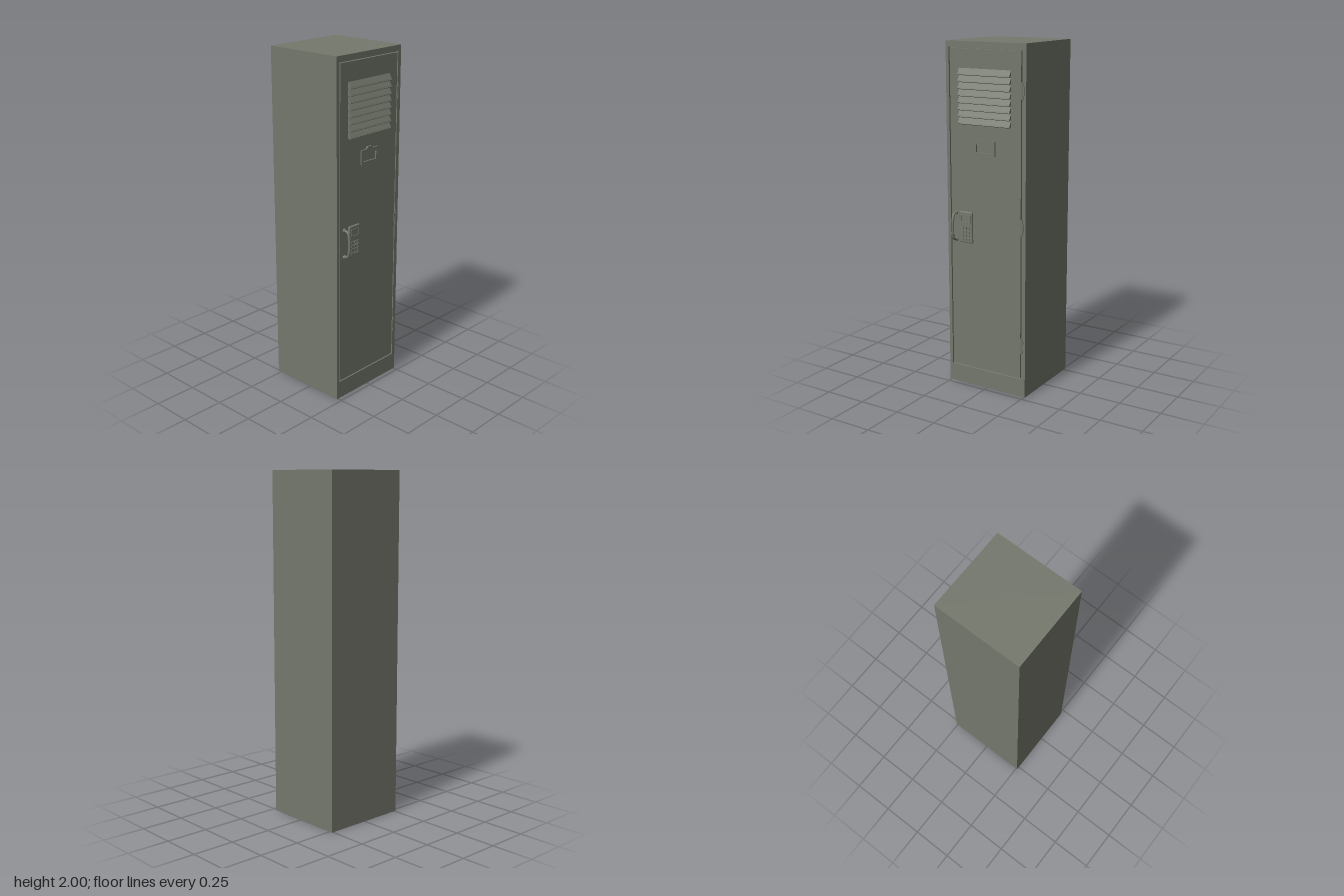
import * as THREE from 'three';
import { RoundedBoxGeometry } from 'three/addons/geometries/RoundedBoxGeometry.js';

const FRONT = 0.222, BACK = -0.27, HALF = 0.258;

// Rectangle outline from its edges
function rect(Type, x0, x1, y0, y1) {
  const s = new Type();
  s.moveTo(x0, y0);
  s.lineTo(x1, y0);
  s.lineTo(x1, y1);
  s.lineTo(x0, y1);
  s.closePath();
  return s;
}

export function createModel() {
  const model = new THREE.Group();
  const paint = new THREE.MeshStandardMaterial({ color: 0x74786c });
  paint.name = 'grey green paint';

  function add(name, geometry, x = 0, y = 0, z = 0, parent = model) {
    const mesh = new THREE.Mesh(geometry, paint);
    mesh.name = name;
    mesh.position.set(x, y, z);
    parent.add(mesh);
    return mesh;
  }
  function group(name) {
    const g = new THREE.Group();
    g.name = name;
    model.add(g);
    return g;
  }
  const box = (x0, x1, y0, y1, z0, z1, name, parent) => add(name,
    new THREE.BoxGeometry(x1 - x0, y1 - y0, z1 - z0),
    (x0 + x1) / 2, (y0 + y1) / 2, (z0 + z1) / 2, parent);
  const extrude = (shape, depth) =>
    new THREE.ExtrudeGeometry(shape, { depth, bevelEnabled: false });

  // Cabinet, with a front frame around the door opening
  const lip = 0.016;
  box(-HALF, HALF, 0, 2, BACK, FRONT - lip, 'cabinet');
  const frame = rect(THREE.Shape, -HALF, HALF, 0, 2);
  frame.holes.push(rect(THREE.Path, -0.238, 0.234, 0.106, 1.968));
  add('doorFrame', extrude(frame, lip), 0, 0, FRONT - lip);

  // Door, set in the opening with a thin gap all round
  box(-0.231, 0.227, 0.113, 1.961, FRONT - lip, FRONT, 'door');

  // Vent louvres: wedges that slope outward toward the bottom
  const louvres = group('vent');
  const pitch = 0.0386, width = 0.334;
  const wedge = new THREE.Shape();
  wedge.moveTo(0, 0);
  wedge.lineTo(0.016, -0.004);
  wedge.lineTo(0.019, -0.001);
  wedge.lineTo(0.016, 0.006);
  wedge.lineTo(0, 0.034);
  wedge.closePath();
  const louvre = extrude(wedge, width);
  louvre.rotateY(-Math.PI / 2);
  for (let i = 0; i < 8; i++) {
    add('louvre', louvre, width / 2 - 0.003, 1.551 + i * pitch, FRONT, louvres);
  }

  // Name card holder with a raised tab on top
  const holder = new THREE.Shape();
  [[-0.07, 1.382], [0.065, 1.382], [0.065, 1.465], [0.025, 1.465], [0.012, 1.478],
    [-0.017, 1.478], [-0.03, 1.465], [-0.07, 1.465]].forEach(([x, y], i) =>
    i ? holder.lineTo(x, y) : holder.moveTo(x, y));
  holder.closePath();
  holder.holes.push(rect(THREE.Path, -0.056, 0.051, 1.397, 1.442));
  add('cardHolder', extrude(holder, 0.009), 0, 0, FRONT);

  // Keypad lock: housing, screen surround and twelve buttons
  const lock = group('keypadLock');
  add('lockHousing', new RoundedBoxGeometry(0.086, 0.182, 0.016, 2, 0.006),
    -0.127, 0.959, FRONT + 0.007, lock);
  const screen = rect(THREE.Shape, -0.159, -0.095, 0.987, 1.033);
  screen.holes.push(rect(THREE.Path, -0.153, -0.101, 0.993, 1.027));
  add('screenSurround', extrude(screen, 0.005), 0, 0, FRONT + 0.014, lock);
  const button = new THREE.BoxGeometry(0.015, 0.014, 0.007);
  for (let row = 0; row < 4; row++) {
    for (let col = 0; col < 3; col++) {
      add('button', button, -0.149 + col * 0.022, 0.889 + row * 0.022, FRONT + 0.017, lock);
    }
  }

  // Pull handle: bowed bar on two round feet
  const handle = group('handle');
  const hx = -0.199;
  const path = new THREE.CatmullRomCurve3([
    [0.878, 0.222], [0.885, 0.248], [0.91, 0.259], [0.957, 0.262],
    [1.004, 0.259], [1.029, 0.248], [1.036, 0.222],
  ].map(([y, z]) => new THREE.Vector3(hx, y, z)));
  add('handleBar', new THREE.TubeGeometry(path, 36, 0.0075, 10), 0, 0, 0, handle);
  const foot = new THREE.CylinderGeometry(0.01, 0.012, 0.01, 14);
  foot.rotateX(Math.PI / 2);
  const collar = new THREE.TorusGeometry(0.0075, 0.0025, 6, 14);
  for (const y of [0.878, 1.036]) {
    add('handleFoot', foot, hx, y, FRONT + 0.005, handle);
  }
  for (const y of [0.918, 0.996]) {
    add('handleCollar', collar, hx, y, 0.2595, handle).rotation.x = Math.PI / 2;
  }

  // Hinges: a knuckle over the door gap with a small leaf on the door side
  for (const y of [0.31, 1.0, 1.75]) {
    const hinge = group('hinge');
    add('hingeKnuckle', new THREE.CylinderGeometry(0.007, 0.007, 0.09, 12),
      0.235, y, FRONT, hinge);
    box(0.224, 0.247, y - 0.025, y + 0.025, FRONT, FRONT + 0.004, 'hingeLeaf', hinge);
  }

  return model;
}
